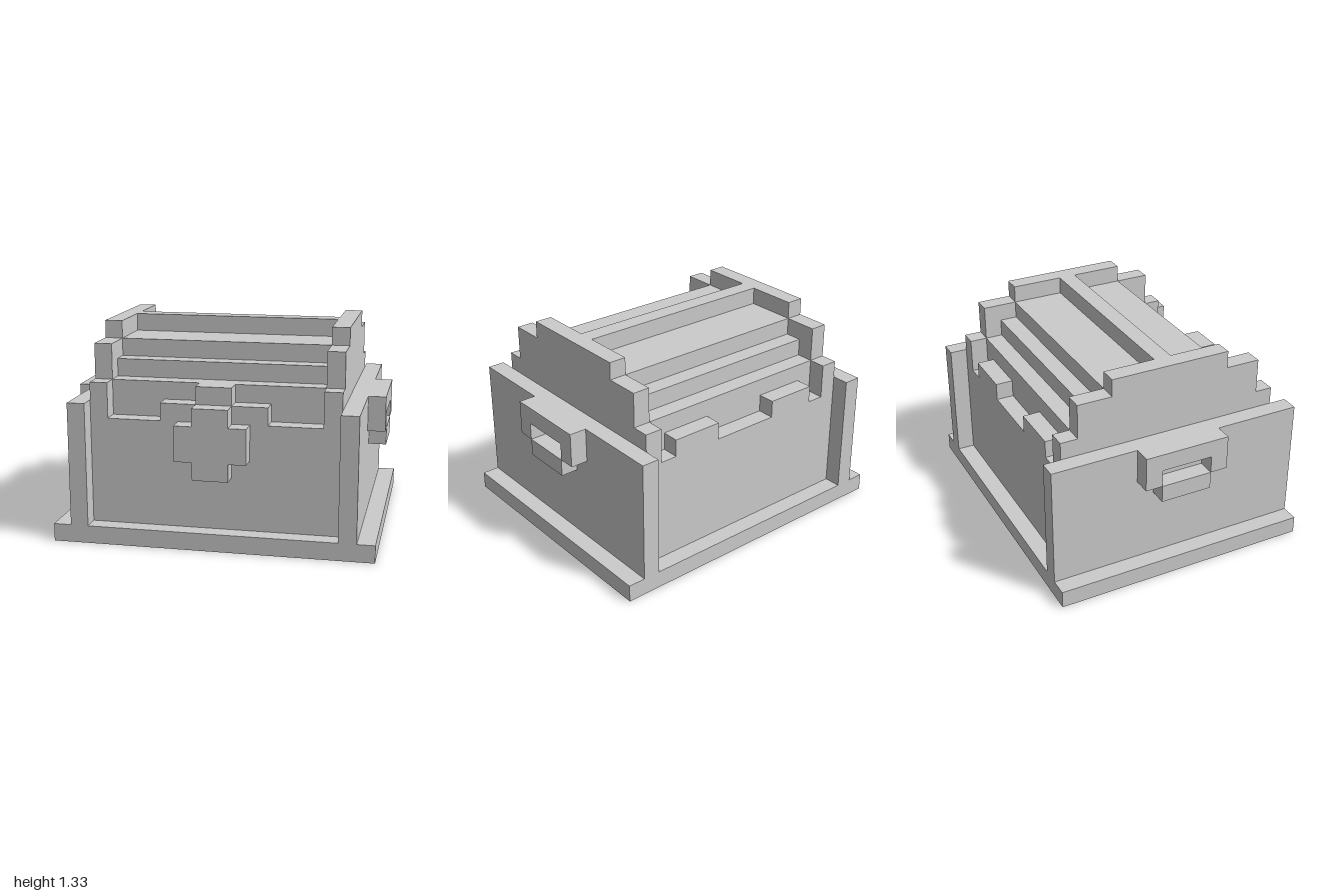
import * as THREE from 'three';

// Modelled on a block grid: 18 x 12 x 15 blocks, 9 blocks to one unit
const BLOCK = 1 / 9;

export function createModel() {
  const model = new THREE.Group();
  model.name = 'treasureChest';
  const material = new THREE.MeshStandardMaterial({ color: 0xcccccc });

  const add = (name, geometry, parent = model) => {
    geometry.scale(BLOCK, BLOCK, BLOCK);
    const mesh = new THREE.Mesh(geometry, material);
    mesh.name = name;
    parent.add(mesh);
    return mesh;
  };

  // Box from its low corner to its high corner
  const box = (name, [x0, y0, z0], [x1, y1, z1], parent) =>
    add(name, new THREE.BoxGeometry(x1 - x0, y1 - y0, z1 - z0)
      .translate((x0 + x1) / 2, (y0 + y1) / 2, (z0 + z1) / 2), parent);

  // Symmetric plate: the right half of the outline, bottom to top, mirrored
  const plate = (half, depth) => {
    const mirrored = half.map(([a, b]) => [-a, b]).reverse();
    const shape = new THREE.Shape([...half, ...mirrored].map(([a, b]) => new THREE.Vector2(a, b)));
    return new THREE.ExtrudeGeometry(shape, { depth, bevelEnabled: false });
  };
  const facingFront = (name, half, z0, z1) =>
    add(name, plate(half, z1 - z0).translate(0, 0, z0));
  const alongX = (name, half, x0, x1) =>
    add(name, plate(half, x1 - x0).rotateY(Math.PI / 2).translate(x0, 0, 0));

  box('base', [-9, 0, -7.5], [9, 1, 7.5]);

  // Chest core with the stepped lid and the thin ridge on top
  alongX('coreAndLid', [
    [5.5, 1], [5.5, 9], [4.5, 9], [4.5, 10], [3.5, 10], [3.5, 11], [0.5, 11], [0.5, 12],
  ], -6, 6);

  // Front and back walls with notched upper edges
  facingFront('frontWall', [[6, 1], [6, 7], [3, 7], [3, 8], [1, 8], [1, 9]], 5.5, 6.5);
  facingFront('backWall', [[6, 1], [6, 7], [5, 7], [5, 8], [2, 8], [2, 7]], -6.5, -5.5);

  // Lock plate
  facingFront('lock', [[1, 4], [1, 5], [2, 5], [2, 7], [1, 7], [1, 8]], 6.5, 7.5);

  const lidEnd = [[6.5, 1], [6.5, 9], [5.5, 9], [5.5, 11], [3.5, 11], [3.5, 12]];
  for (const [side, s] of [['left', 1], ['right', -1]]) {
    const span = (a, b) => (s > 0 ? [a, b] : [-b, -a]);

    // Stepped lid end and the outer side wall
    alongX(side + 'LidEnd', lidEnd, ...span(6, 7));
    const [w0, w1] = span(7, 8);
    box(side + 'SideWall', [w0, 1, -7.5], [w1, 8, 7.5]);

    // Handle: top rail, two posts and a lower grip
    const handle = new THREE.Group();
    handle.name = side + 'Handle';
    model.add(handle);
    const [h0, h1] = span(8, 9);
    box('handleRail', [h0, 7, -2.5], [h1, 8, 2.5], handle);
    box('handleFrontPost', [h0, 6, 1.5], [h1, 7, 2.5], handle);
    box('handleBackPost', [h0, 6, -2.5], [h1, 7, -1.5], handle);
    box('handleGrip', [h0, 5, -1.5], [h1, 6, 1.5], handle);
  }

  return model;
}
